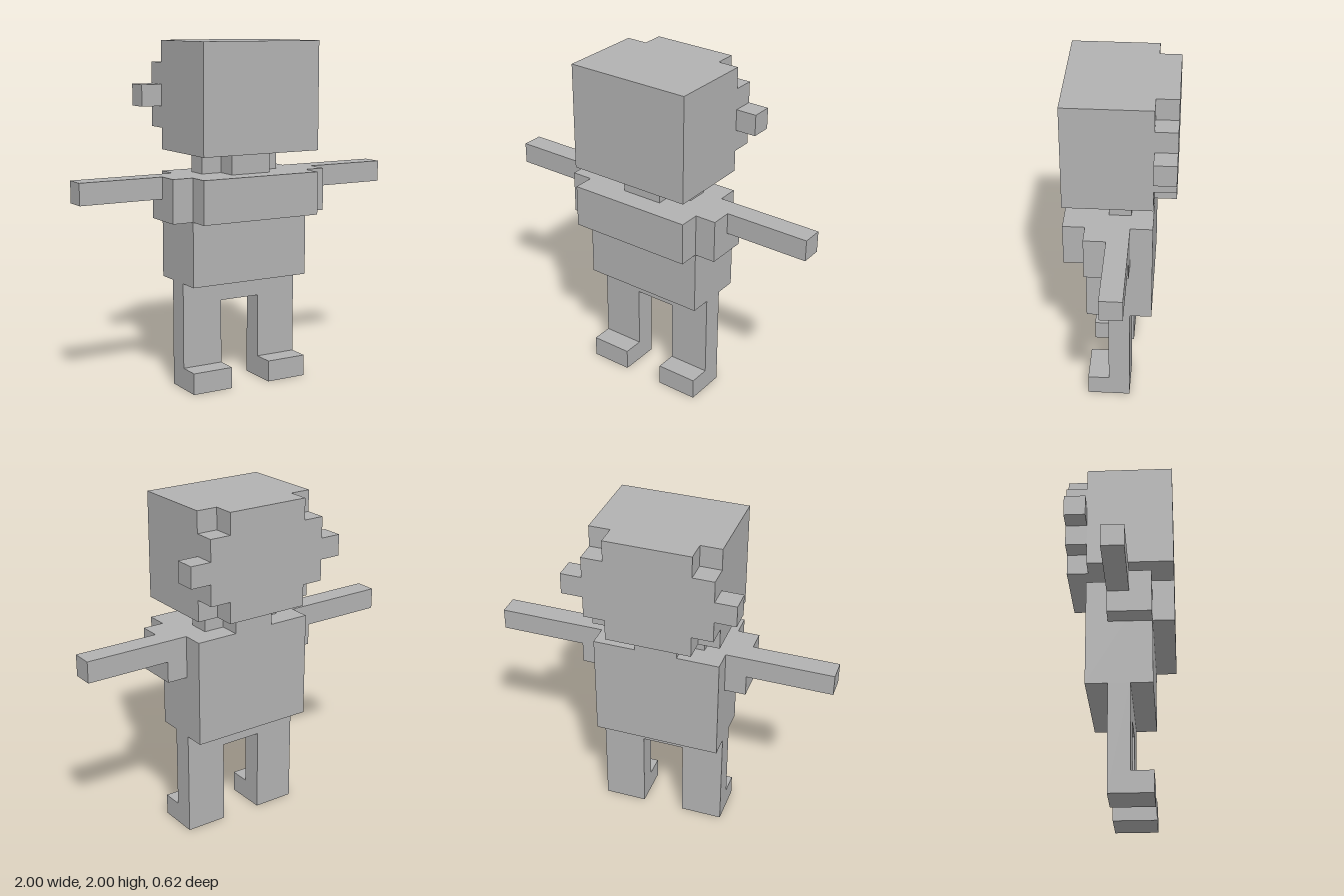
import * as THREE from 'three';

const U = 0.125; // one block

export function createModel() {
  const grey = new THREE.MeshStandardMaterial({ color: 0xb2b2b2 });
  grey.name = 'grey';
  const model = new THREE.Group();
  model.name = 'blockFigure';

  const add = (name, geometry) => {
    const mesh = new THREE.Mesh(geometry, grey);
    mesh.name = name;
    model.add(mesh);
    return mesh;
  };

  // Box given by its extents in blocks
  const box = (name, [x0, x1], [y0, y1], [z0, z1]) => {
    const g = new THREE.BoxGeometry((x1 - x0) * U, (y1 - y0) * U, (z1 - z0) * U);
    g.translate((x0 + x1) / 2 * U, (y0 + y1) / 2 * U, (z0 + z1) / 2 * U);
    return add(name, g);
  };

  // Symmetric slab: the right half outline runs bottom to top and is mirrored in x
  const slab = (half, depth) => {
    const outline = [...half, ...half.map(([x, y]) => [-x, y]).reverse()];
    const shape = new THREE.Shape(outline.map(([x, y]) => new THREE.Vector2(x * U, y * U)));
    return new THREE.ExtrudeGeometry(shape, { depth: depth * U, bevelEnabled: false });
  };

  // Head, with a stepped back layer that carries the ears
  box('head', [-3, 3], [11, 16], [-1.5, 2.5]);
  const headBack = slab([
    [2, 11], [2, 12], [3, 12], [3, 13], [4, 13], [4, 14],
    [3, 14], [3, 15], [2, 15], [2, 16],
  ], 1);
  add('headBackAndEars', headBack.translate(0, 0, -2.5 * U));

  // Cross-shaped neck, extruded upwards
  const neck = slab([
    [1, -1.5], [1, -0.5], [2, -0.5], [2, 0.5], [1, 0.5], [1, 1.5],
  ], 1);
  add('neck', neck.rotateX(-Math.PI / 2).translate(0, 10 * U, 0));

  // Torso and raised chest
  box('torso', [-3, 3], [5, 10], [-1.5, 1.5]);
  box('chest', [-3, 3], [8, 10], [1.5, 2.5]);

  // Hips and legs in one slab
  const legs = slab([[1, 4], [1, 0], [3, 0], [3, 5]], 1);
  add('hipsAndLegs', legs.translate(0, 0, -0.5 * U));

  // Paired parts
  for (const [side, s] of [['left', 1], ['right', -1]]) {
    const span = (a, b) => (s > 0 ? [a, b] : [-b, -a]);
    box(side + 'Shoulder', span(3, 4), [8, 10], [-0.5, 1.5]);
    box(side + 'Arm', span(4, 8), [9, 10], [-0.5, 0.5]);
    box(side + 'Foot', span(1, 3), [0, 1], [0.5, 1.5]);
  }

  return model;
}
